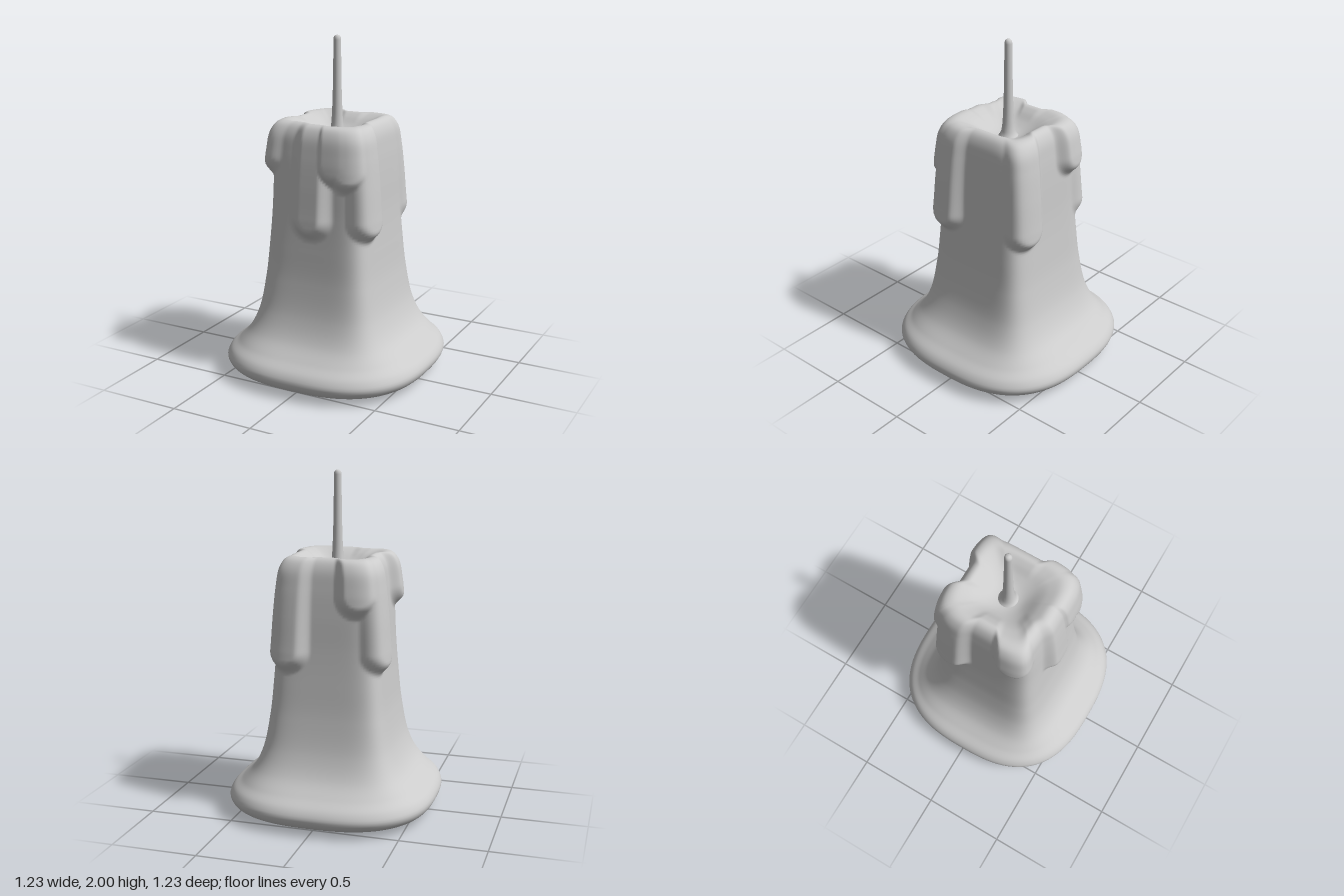
import * as THREE from 'three';

// Body profile, bottom centre to dish centre: height, half width, squareness exponent
const PROFILE = [
  [0, 0, 2.6], [0, 0.25, 2.6], [0.002, 0.44, 2.6], [0.02, 0.53, 2.6], [0.055, 0.595, 2.65],
  [0.1, 0.615, 2.7], [0.145, 0.595, 2.8], [0.2, 0.525, 3.3], [0.28, 0.445, 4.3],
  [0.4, 0.388, 5], [0.6, 0.346, 5.8], [0.8, 0.325, 6], [1.0, 0.31, 6], [1.2, 0.301, 6],
  [1.36, 0.29, 6], [1.46, 0.276, 6], [1.51, 0.25, 5.5], [1.525, 0.22, 5], [1.505, 0.18, 4],
  [1.46, 0.13, 3], [1.43, 0.08, 2.2], [1.42, 0.04, 2], [1.42, 0, 2],
];

// Wax runs: position on the wall (x, z) and the height of the lower tip
const DRIPS = [
  [0, 0.3, 0.87], [0.14, 0.3, 1.19], [0.22, 0.3, 1.16], [0.3, 0.2, 0.87],
  [0.2, -0.3, 0.87], [-0.2, -0.3, 1.2], [-0.3, -0.2, 0.87], [-0.3, 0.2, 1.2],
];
const RADIUS = 0.12;

// Thickness of the wax runs at a wall point; thickest near each tip
function dripThickness(x, y, z) {
  let best = 0;
  for (const [dx, dz, tip] of DRIPS) {
    const below = Math.max(0, tip + RADIUS - y);
    const d = Math.hypot(x - dx, z - dz, below);
    const amount = 0.058 - 0.045 * Math.max(0, y - tip - RADIUS);
    best = Math.max(best, amount * (1 - THREE.MathUtils.smoothstep(d, 0.055, 0.135)));
  }
  return best;
}

// Rounded-square rings lofted along the profile
function waxGeometry(segments = 192, rings = 180) {
  const curve = new THREE.CatmullRomCurve3(PROFILE.map(([y, h, n]) => new THREE.Vector3(h, y, n / 20)));
  const points = curve.getSpacedPoints(rings);
  const positions = [];
  const index = [];
  points.forEach((p, j) => {
    const h = Math.max(0, p.x);
    const y = Math.max(0, p.y);
    const n = p.z * 20;
    const pastRim = j > rings / 2 && y > 1.3;
    const fade = pastRim ? THREE.MathUtils.smoothstep(h, 0.13, 0.25) : 1;
    for (let i = 0; i < segments; i++) {
      const a = (i / segments) * Math.PI * 2;
      const c = Math.cos(a);
      const s = Math.sin(a);
      const k = Math.pow(Math.abs(c) ** n + Math.abs(s) ** n, -1 / n);
      const normal = new THREE.Vector2(
        Math.sign(c) * Math.abs(c) ** (n - 1), Math.sign(s) * Math.abs(s) ** (n - 1)).normalize();
      const t = y > 0.7 ? fade * dripThickness(c * k * 0.3, y, s * k * 0.3) : 0;
      positions.push(c * k * h + normal.x * t, y, s * k * h + normal.y * t);
      if (j < rings) {
        const b = j * segments + i;
        const e = j * segments + ((i + 1) % segments);
        index.push(b, b + segments, e, e, b + segments, e + segments);
      }
    }
  });
  const geometry = new THREE.BufferGeometry();
  geometry.setAttribute('position', new THREE.Float32BufferAttribute(positions, 3));
  geometry.setIndex(index);
  geometry.computeVertexNormals();
  return geometry;
}

export function createModel() {
  const group = new THREE.Group();
  group.name = 'candle';
  const material = new THREE.MeshStandardMaterial({ color: 0xcccccc });

  // Melted wax body with its spread foot, runs and hollow top
  const wax = new THREE.Mesh(waxGeometry(), material);
  wax.name = 'waxBody';
  group.add(wax);

  // Wick with a flared root and rounded tip
  const wickProfile = [
    [0.065, 1.415], [0.05, 1.43], [0.04, 1.455], [0.034, 1.5], [0.03, 1.56], [0.026, 1.68],
    [0.023, 1.85], [0.022, 1.975], [0.019, 1.991], [0.011, 1.999], [0, 2],
  ].map(([r, y]) => new THREE.Vector2(r, y));
  const wick = new THREE.Mesh(new THREE.LatheGeometry(wickProfile, 24), material);
  wick.name = 'wick';
  group.add(wick);

  return group;
}
